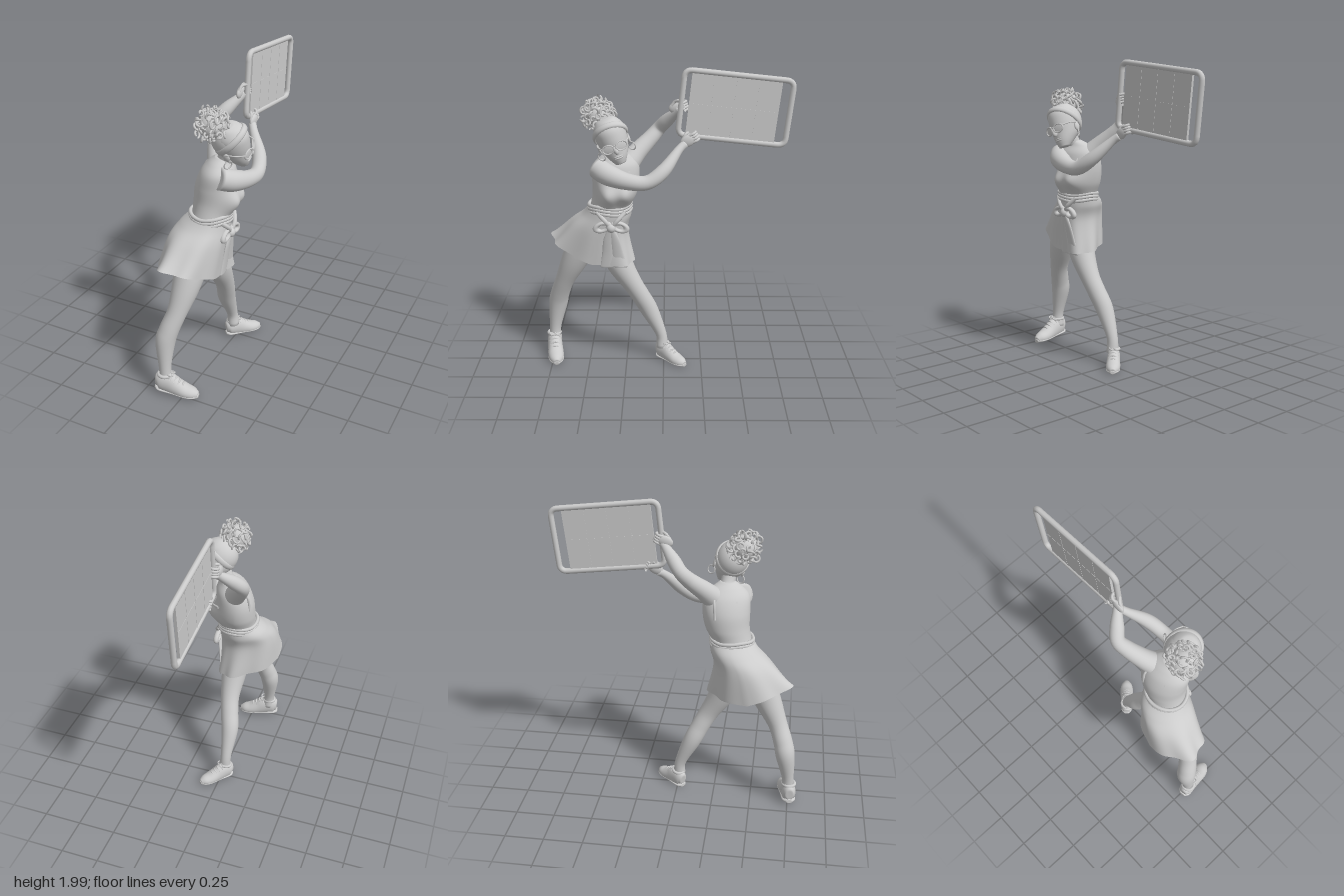
import * as THREE from 'three';

const mat = new THREE.MeshStandardMaterial({ color: 0xcccccc, side: THREE.DoubleSide });
const V = (p) => new THREE.Vector3(p[0], p[1], p[2]);

function add(parent, name, geo, pos = [0, 0, 0], rot = [0, 0, 0], scale = [1, 1, 1]) {
  const m = new THREE.Mesh(geo, mat);
  m.name = name;
  m.position.set(...pos);
  m.rotation.set(...rot);
  m.scale.set(...scale);
  parent.add(m);
  return m;
}
const ball = (parent, name, pos, scale, rot) =>
  add(parent, name, new THREE.SphereGeometry(1, 24, 16), pos, rot, scale);
const tube = (parent, name, pts, r, seg = 20, closed = false) =>
  add(parent, name, new THREE.TubeGeometry(new THREE.CatmullRomCurve3(pts.map(V), closed), seg, r, 8, closed));

// Smooth skin through elliptical sections [x, y, z, rA, rB, yaw].
// flat: horizontal sections listed top to bottom; otherwise sections follow the path.
function loft(secs, { flat = false, cap = true, rows = 36, cols = 28, warp = null } = {}) {
  const path = new THREE.CatmullRomCurve3(secs.map(V), false, 'catmullrom');
  const size = new THREE.CatmullRomCurve3(
    secs.map((s) => new THREE.Vector3(s[3], s[4] ?? s[3], s[5] ?? 0)), false, 'catmullrom');
  const pos = [], idx = [], rings = [];
  for (let i = 0; i <= rows; i++) rings.push([i / rows, 1]);
  if (cap) {
    rings.unshift([0, 0], [0, 0.7]);
    rings.push([1, 0.7], [1, 0]);
  }
  for (const [t, k] of rings) {
    const c = path.getPoint(t), s = size.getPoint(t);
    let a, b;
    if (flat) {
      a = new THREE.Vector3(Math.cos(s.z), 0, -Math.sin(s.z));
      b = new THREE.Vector3(Math.sin(s.z), 0, Math.cos(s.z));
    } else {
      const T = path.getTangent(t);
      const ref = Math.abs(V(secs[0]).sub(V(secs.at(-1))).normalize().y) > 0.8 ? [1, 0, 0] : [0, 1, 0];
      a = V(ref).cross(T).normalize();
      b = T.clone().cross(a);
    }
    for (let j = 0; j < cols; j++) {
      const u = (j / cols) * Math.PI * 2;
      const p = c.clone().addScaledVector(a, Math.cos(u) * s.x * k).addScaledVector(b, Math.sin(u) * s.y * k);
      if (warp) warp(p, u, t, c);
      pos.push(p.x, p.y, p.z);
    }
  }
  for (let i = 0; i < rings.length - 1; i++) for (let j = 0; j < cols; j++) {
    const n = (j + 1) % cols, p = i * cols, q = p + cols;
    idx.push(p + j, p + n, q + j, p + n, q + n, q + j);
  }
  const g = new THREE.BufferGeometry();
  g.setAttribute('position', new THREE.Float32BufferAttribute(pos, 3));
  g.setIndex(idx);
  g.computeVertexNormals();
  return g;
}

function body(root) {
  // torso with the bust swelling out of the front
  const bust = (p, u) => {
    if (Math.cos(u) <= 0) return;
    const swell = (z) => Math.exp(-((p.z - z) ** 2) / 0.004 - ((p.y - 1.215) ** 2) / 0.005);
    p.x += 0.062 * Math.sqrt(Math.cos(u)) * (swell(0.355) + swell(0.225));
  };
  add(root, 'torso', loft([
    [0.06, 1.48, 0.30, 0.045, 0.045, 0.3], [0.04, 1.445, 0.30, 0.07, 0.1, 0.3], [0.03, 1.39, 0.30, 0.105, 0.145, 0.3],
    [0.015, 1.30, 0.30, 0.125, 0.15, 0.25], [0.005, 1.20, 0.31, 0.123, 0.14, 0.15], [0, 1.11, 0.34, 0.117, 0.128, 0],
    [-0.02, 1.02, 0.36, 0.125, 0.14, 0], [-0.04, 0.9, 0.42, 0.12, 0.15, 0]],
  { flat: true, rows: 60, cols: 64, warp: bust }));
  for (const s of [1, -1]) {
    tube(root, 'shoulderStrap', [[0.145, 1.285, 0.29 + s * 0.065], [0.125 + s * 0.02, 1.36, 0.29 + s * 0.075],
      [0.05 + s * 0.02, 1.448, 0.3 + s * 0.078], [-0.065 + s * 0.02, 1.39, 0.3 + s * 0.068], [-0.09 + s * 0.015, 1.28, 0.3 + s * 0.06]], 0.008, 30);
  }
  tube(root, 'neckline', [[0.1, 1.31, 0.41], [0.148, 1.285, 0.355], [0.157, 1.235, 0.29], [0.142, 1.285, 0.225], [0.08, 1.31, 0.165]], 0.007, 30);
  add(root, 'neck', loft([[0.04, 1.42, 0.30, 0.06], [0.07, 1.46, 0.30, 0.046], [0.105, 1.54, 0.31, 0.048]]));
  // legs
  add(root, 'rightLeg', loft([
    [-0.04, 0.95, 0.45, 0.1], [-0.04, 0.83, 0.53, 0.1], [-0.05, 0.7, 0.595, 0.084], [-0.075, 0.56, 0.66, 0.062],
    [-0.11, 0.45, 0.7, 0.062], [-0.13, 0.36, 0.72, 0.062], [-0.125, 0.19, 0.745, 0.039], [-0.12, 0.09, 0.745, 0.042]]));
  add(root, 'leftLeg', loft([
    [-0.02, 0.95, 0.37, 0.1], [0, 0.83, 0.335, 0.094], [0.01, 0.7, 0.28, 0.083], [0.01, 0.57, 0.205, 0.064],
    [-0.005, 0.47, 0.15, 0.06], [-0.025, 0.36, 0.095, 0.058], [-0.025, 0.19, 0.02, 0.037], [-0.02, 0.09, 0.01, 0.04]]));
  // arms
  add(root, 'rightArm', loft([
    [0.09, 1.385, 0.41, 0.068], [0.145, 1.355, 0.34, 0.066], [0.185, 1.325, 0.22, 0.052], [0.19, 1.32, 0.1, 0.045],
    [0.155, 1.385, 0.0, 0.043], [0.075, 1.49, -0.09, 0.027], [0.045, 1.525, -0.13, 0.025]]));
  add(root, 'leftArm', loft([
    [-0.01, 1.39, 0.22, 0.07], [-0.05, 1.45, 0.165, 0.06], [-0.095, 1.525, 0.085, 0.05], [-0.115, 1.585, 0.03, 0.044],
    [-0.075, 1.645, -0.02, 0.042], [-0.02, 1.705, -0.075, 0.027], [0, 1.73, -0.1, 0.025]]));
}

// palm with four fingers curled round the frame
function hand(root, name, pos, tilt, side) {
  const g = new THREE.Group();
  g.name = name;
  g.position.set(...pos);
  g.rotation.x = tilt;
  root.add(g);
  ball(g, 'palm', [side * 0.025, 0, -0.005], [0.018, 0.036, 0.05]);
  for (let i = 0; i < 4; i++) {
    const y = -0.024 + i * 0.016;
    tube(g, 'finger', [[side * 0.025, y, -0.02], [side * 0.028, y, -0.055], [side * 0.004, y, -0.072], [-side * 0.02, y, -0.05]], 0.009, 12);
  }
  tube(g, 'thumb', [[side * 0.02, 0.02, 0.02], [side * 0.015, 0.04, -0.01], [-side * 0.01, 0.04, -0.04]], 0.01, 12);
}

function shoe(root, name, heel, yaw, pitch, k) {
  const g = new THREE.Group();
  g.name = name;
  g.position.set(...heel);
  g.rotation.set(0, yaw, pitch, 'YXZ');
  g.scale.setScalar(k);
  root.add(g);
  const floor = (p) => { p.y = Math.max(p.y, 0.004); };
  add(g, 'upper', loft([[0, 0.06, 0, 0.028, 0.04], [0.03, 0.065, 0, 0.046, 0.068], [0.09, 0.06, 0, 0.05, 0.075],
    [0.14, 0.045, 0, 0.052, 0.062], [0.2, 0.03, 0, 0.054, 0.048], [0.25, 0.025, 0, 0.045, 0.038], [0.285, 0.02, 0, 0.022, 0.022]], { warp: floor }));
  add(g, 'sole', loft([[-0.003, 0.014, 0, 0.022, 0.014], [0.03, 0.014, 0, 0.045, 0.014], [0.12, 0.014, 0, 0.048, 0.014],
    [0.21, 0.014, 0, 0.054, 0.014], [0.26, 0.014, 0, 0.043, 0.014], [0.29, 0.014, 0, 0.018, 0.013]]));
  add(g, 'collar', new THREE.TorusGeometry(0.04, 0.012, 8, 24), [0.055, 0.125, 0], [Math.PI / 2, 0.1, 0]);
  for (let i = 0; i < 4; i++) {
    const x = 0.1 + i * 0.026, y = 0.136 - i * 0.015;
    tube(g, 'lace', [[x, y - 0.025, -0.036], [x + 0.008, y, 0], [x, y - 0.025, 0.036]], 0.006, 10);
  }
  for (const s of [-1, 1]) add(g, 'bow', new THREE.TorusGeometry(0.016, 0.005, 6, 16), [0.1, 0.137, s * 0.018], [1.2, 0, 0]);
}

function clothing(root) {
  // flared skirt, its hem dipping at the front and rising over the right leg
  add(root, 'skirt', loft([
    [0, 1.115, 0.34, 0.124, 0.136], [-0.033, 1.05, 0.365, 0.155, 0.157], [-0.06, 0.95, 0.42, 0.172, 0.188],
    [-0.085, 0.755, 0.465, 0.172, 0.27]], {
    flat: true, cap: false, cols: 72, warp(p, u, t, c) {
      const f = 1 + t * t * (0.05 * Math.sin(u * 7 + 1) + 0.03 * Math.sin(u * 4));
      p.x = c.x + (p.x - c.x) * f;
      p.z = c.z + (p.z - c.z) * f;
      const dz = p.z - c.z;
      p.y += t * t * (0.35 * Math.max(0, dz) + 0.06 * dz - 0.1 * (p.x - c.x));
      p.x += t * Math.max(0, -dz) * 0.35;
    } }));
  const belt = (y, z) => Array.from({ length: 12 }, (_, i) => {
    const u = (i / 12) * Math.PI * 2;
    return [Math.cos(u) * 0.124, y + 0.006 * Math.sin(u * 3), z + Math.sin(u) * 0.134];
  });
  [1.125, 1.105, 1.085].forEach((y) => tube(root, 'waistband', belt(y, 0.342), 0.012, 48, true));
  // front knot, bow loops and hanging ends
  ball(root, 'knot', [0.125, 1.0, 0.33], [0.028, 0.03, 0.03]);
  for (const s of [-1, 1]) {
    add(root, 'bowLoop', new THREE.TorusGeometry(0.036, 0.017, 10, 24), [0.122, 1.005, 0.33 + s * 0.055], [s * 0.3, Math.PI / 2, 0], [1.2, 0.7, 1]);
    tube(root, 'sash', [[0.12, 1.0, 0.33], [0.13, 1.05, 0.33 + s * 0.04], [0.105, 1.1, 0.33 + s * 0.09]], 0.014);
    add(root, 'sashEnd', loft([[0.125, 1.0, 0.33, 0.012, 0.018], [0.115, 0.92, 0.33 + s * 0.02, 0.011, 0.03],
      [0.1, 0.82, 0.325 + s * 0.03, 0.011, 0.038], [0.09, 0.72, 0.32 + s * 0.045, 0.009, 0.043]], { flat: true }));
  }
}

function head(root) {
  const g = new THREE.Group();
  g.name = 'head';
  g.position.set(0.13, 1.575, 0.31);
  g.rotation.set(0.34, 0.12, 0, 'YXZ');
  root.add(g);
  add(g, 'face', loft([[-0.01, 0.14, 0, 0.03, 0.03], [-0.008, 0.125, 0, 0.066, 0.062], [-0.005, 0.08, 0, 0.1, 0.092],
    [-0.003, 0.02, 0, 0.106, 0.096], [0.005, -0.05, 0, 0.094, 0.083], [0.03, -0.1, 0, 0.066, 0.06],
    [0.05, -0.14, 0, 0.034, 0.034]], { flat: true }));
  ball(g, 'nose', [0.104, -0.045, 0], [0.02, 0.026, 0.016], [0, 0, 0.3]);
  for (const y of [-0.087, -0.098]) ball(g, 'lips', [0.09, y, 0], [0.011, 0.007, 0.028]);
  for (const s of [-1, 1]) {
    add(g, 'glassesRim', new THREE.TorusGeometry(0.032, 0.005, 8, 28), [0.108, -0.024, s * 0.042], [0, Math.PI / 2 - s * 0.25, 0], [1.1, 0.85, 1]);
    ball(g, 'lens', [0.106, -0.024, s * 0.042], [0.004, 0.026, 0.033], [0, -s * 0.25, 0]);
    tube(g, 'glassesArm', [[0.1, -0.012, s * 0.076], [0.05, -0.005, s * 0.098], [-0.015, -0.005, s * 0.1]], 0.004);
    ball(g, 'ear', [-0.01, -0.03, s * 0.094], [0.02, 0.03, 0.011]);
    add(g, 'hoopEarring', new THREE.TorusGeometry(0.026, 0.004, 6, 24), [-0.005, -0.08, s * 0.098], [0, 0.9, 0]);
  }
  tube(g, 'glassesBridge', [[0.112, -0.018, -0.012], [0.118, -0.012, 0], [0.112, -0.018, 0.012]], 0.004, 8);
  add(g, 'hairCap', new THREE.SphereGeometry(1, 32, 16, 0, Math.PI * 2, 0, 1.65), [-0.012, 0.028, 0], [0, 0, 0.75], [0.112, 0.116, 0.102]);
  add(g, 'headband', new THREE.TorusGeometry(0.104, 0.011, 10, 40), [-0.006, 0.034, 0], [0, Math.PI / 2, -0.85, 'ZYX'], [0.97, 1.08, 1.8]);
  // curly bun
  let seed = 7;
  const rnd = () => (seed = (seed * 16807) % 2147483647) / 2147483647;
  const bun = new THREE.Group();
  bun.name = 'curlyBun';
  bun.position.set(0.045, 1.71, 0.4);
  root.add(bun);
  ball(bun, 'bunCore', [0, -0.005, 0], [0.085, 0.08, 0.08]);
  for (let i = 0; i < 75; i++) {
    const y = 1 - (2 * (i + 0.5)) / 75, r = Math.sqrt(1 - y * y), a = i * 2.4, d = 0.074 + rnd() * 0.028;
    add(bun, 'curl', new THREE.TorusGeometry(0.013 + rnd() * 0.011, 0.007, 6, 14, 4 + rnd() * 2),
      [Math.cos(a) * r * d, y * d, Math.sin(a) * r * d], [rnd() * 6, rnd() * 6, rnd() * 6]);
  }
}

function board(root) {
  const g = new THREE.Group();
  g.name = 'board';
  g.position.set(0.014, 1.743, -0.44);
  g.rotation.set(-0.108, 0.015, 0);
  root.add(g);
  // rounded tube frame
  const z = 0.334, y = 0.202, r = 0.04, frame = [];
  [[1, 1, 0], [-1, 1, 1], [-1, -1, 2], [1, -1, 3]].forEach(([sz, sy, q]) => {
    for (let i = 0; i <= 4; i++) {
      const u = (q + i / 4) * Math.PI / 2;
      frame.push([0, sy * (y - r) + Math.sin(u) * r, sz * (z - r) + Math.cos(u) * r]);
    }
  });
  const path = new THREE.CurvePath();
  frame.forEach((p, i) => path.add(new THREE.LineCurve3(V(p), V(frame[(i + 1) % frame.length]))));
  const curve = new THREE.CatmullRomCurve3(path.getSpacedPoints(120).slice(0, -1), true);
  add(g, 'frame', new THREE.TubeGeometry(curve, 160, 0.018, 10, true));
  add(g, 'panel', new THREE.BoxGeometry(0.016, 0.4, 0.552), [0, 0, 0.012]);
  for (const e of [-1, 1]) {
    for (const d of [-0.138, 0, 0.138]) add(g, 'seam', new THREE.BoxGeometry(0.002, 0.38, 0.003), [e * 0.0085, 0, 0.012 + d]);
    add(g, 'seam', new THREE.BoxGeometry(0.002, 0.003, 0.55), [e * 0.0085, 0, 0.012]);
  }
}

export function createModel() {
  const root = new THREE.Group();
  root.name = 'womanWithBoard';
  body(root);
  clothing(root);
  head(root);
  board(root);
  hand(root, 'rightHand', [0.02, 1.542, -0.145], 0.5, 1);
  hand(root, 'leftHand', [0.012, 1.74, -0.075], 0.3, -1);
  shoe(root, 'rightShoe', [-0.185, 0.025, 0.765], 0.17, -0.08, 0.97);
  shoe(root, 'leftShoe', [-0.06, 0.004, 0.04], 0.82, 0, 0.86);
  return root;
}
